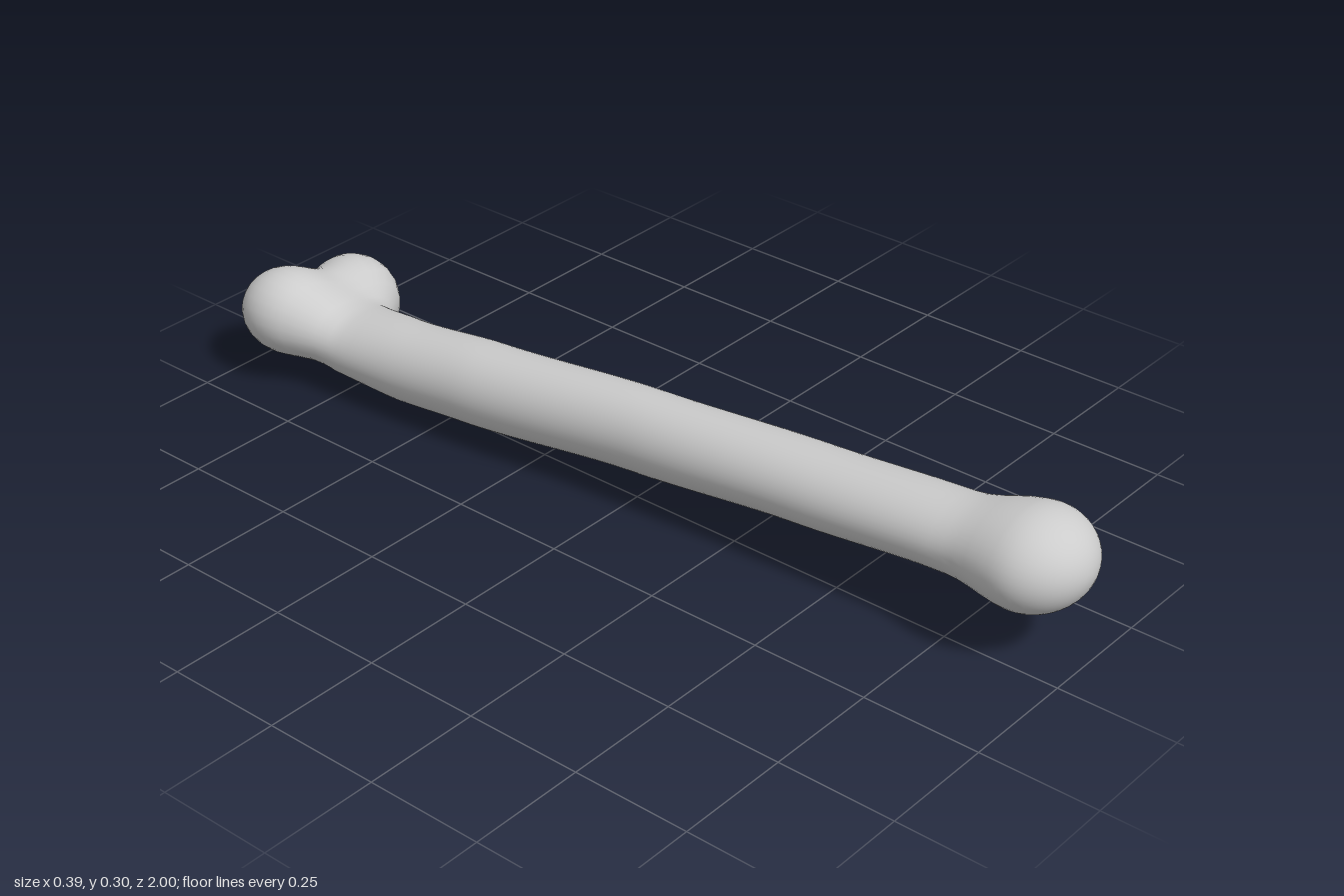
import * as THREE from 'three';
import { mergeVertices } from 'three/addons/utils/BufferGeometryUtils.js';

// Shaft cross-sections: z, centre x, centre y, radius x, radius y
const SHAFT = [
  [-0.88, -0.01, 0.115, 0.1, 0.075],
  [-0.75, -0.028, 0.103, 0.098, 0.073],
  [-0.6, -0.027, 0.105, 0.092, 0.085],
  [-0.4, -0.015, 0.12, 0.092, 0.09],
  [0, 0.02, 0.148, 0.086, 0.087],
  [0.4, 0.047, 0.172, 0.091, 0.079],
  [0.7, 0.064, 0.19, 0.095, 0.074],
  [0.88, 0.075, 0.198, 0.1, 0.078],
];
const Z0 = SHAFT[0][0], Z1 = SHAFT[SHAFT.length - 1][0];

// Rounded ends of the bone: centre and radii
const KNOBS = [
  [0.096, 0.1, -0.895, 0.095, 0.1, 0.105],
  [-0.094, 0.152, -0.898, 0.097, 0.09, 0.102],
  [0.077, 0.2, 0.89, 0.114, 0.091, 0.11],
];

function section(z) {
  const zc = THREE.MathUtils.clamp(z, Z0, Z1);
  let i = 0;
  while (i < SHAFT.length - 2 && zc > SHAFT[i + 1][0]) i++;
  const a = SHAFT[i], b = SHAFT[i + 1];
  const t = THREE.MathUtils.smoothstep(zc, a[0], b[0]) * 0.3 + (zc - a[0]) / (b[0] - a[0]) * 0.7;
  return a.map((v, k) => v + (b[k] - v) * t);
}

const ellipsoid = (dx, dy, dz, rx, ry, rz) =>
  (Math.hypot(dx / rx, dy / ry, dz / rz) - 1) * Math.min(rx, ry);

// Smooth union of two distances
function blend(a, b, k) {
  const h = Math.max(k - Math.abs(a - b), 0) / k;
  return Math.min(a, b) - h * h * k * 0.25;
}

// Shaft and knobs melted into one form
function field(p) {
  const [, cx, cy, rx, ry] = section(p.z);
  const dz = p.z - THREE.MathUtils.clamp(p.z, Z0, Z1);
  let d = ellipsoid(p.x - cx, p.y - cy, dz, rx, ry, 0.08);
  for (const [x, y, z, a, b, c] of KNOBS) {
    d = blend(d, ellipsoid(p.x - x, p.y - y, p.z - z, a, b, c), 0.06);
  }
  return d;
}

// Outermost surface point along a ray
function surfacePoint(origin, dir) {
  const at = (t) => origin.clone().addScaledVector(dir, t);
  let t = 0.36;
  while (t > 0 && field(at(t)) > 0) t -= 0.006;
  let lo = t, hi = t + 0.006;
  for (let i = 0; i < 8; i++) {
    const mid = (lo + hi) / 2;
    if (field(at(mid)) > 0) hi = mid; else lo = mid;
  }
  return at(lo);
}

function boneGeometry() {
  const around = 48, along = 60, cap = 16;
  const back = -0.84, front = 0.86;

  // Rings: ray origin z and tilt towards the end poles
  const rings = [];
  for (let i = 0; i < cap; i++) rings.push([back, -(1 - i / cap) * Math.PI / 2]);
  for (let i = 0; i <= along; i++) rings.push([back + (front - back) * i / along, 0]);
  for (let i = 1; i <= cap; i++) rings.push([front, i / cap * Math.PI / 2]);

  const positions = [], index = [];
  rings.forEach(([z, tilt], i) => {
    const [, cx, cy] = section(z);
    const origin = new THREE.Vector3(cx, cy, z);
    const c = Math.abs(tilt) > 1.57 ? 0 : Math.cos(tilt);
    for (let j = 0; j < around; j++) {
      const a = j / around * Math.PI * 2;
      const dir = new THREE.Vector3(Math.cos(a) * c, Math.sin(a) * c, Math.sin(tilt));
      positions.push(...surfacePoint(origin, dir).toArray());
      if (i === rings.length - 1) continue;
      const k = (j + 1) % around, p = i * around, q = p + around;
      if (i > 0) index.push(p + j, p + k, q + k);
      else index.push(p + j, q + k, q + j);
      if (i > 0 && i < rings.length - 2) index.push(p + j, q + k, q + j);
    }
  });
  const geometry = new THREE.BufferGeometry();
  geometry.setAttribute('position', new THREE.Float32BufferAttribute(positions, 3));
  geometry.setIndex(index);
  const merged = mergeVertices(geometry, 1e-5);
  merged.computeVertexNormals();
  return merged;
}

export function createModel() {
  const group = new THREE.Group();
  group.name = 'bone';
  const bone = new THREE.Mesh(boneGeometry(), new THREE.MeshStandardMaterial({ color: 0xcccccc }));
  bone.name = 'boneShaftAndKnobs';
  group.add(bone);
  return group;
}
